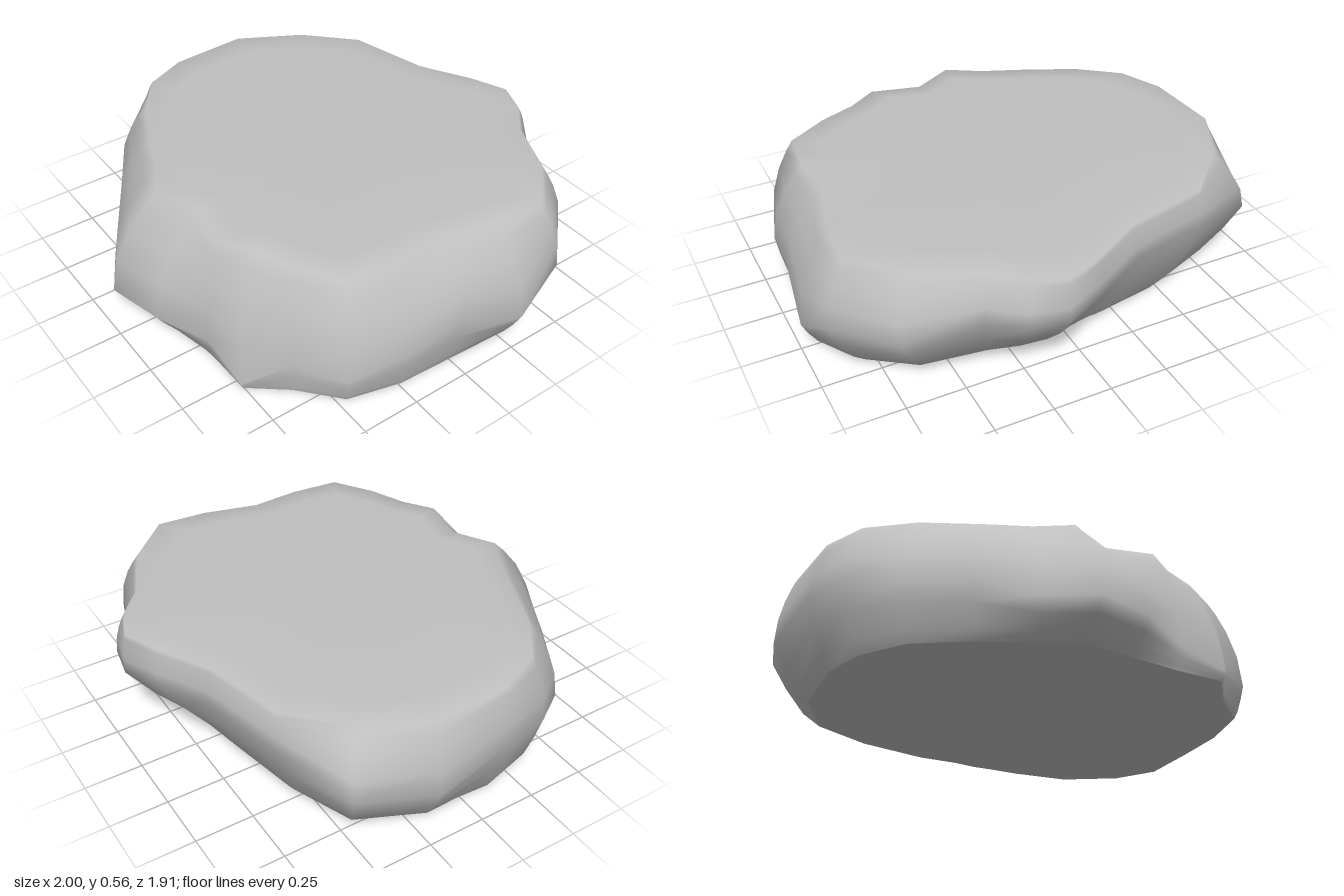
import * as THREE from 'three';

const TOP = 0.549;

// Ribs around the rock: degrees from +x towards +z, foot radius, belly radius, belly height, rim radius
const ribs = [
  [0, .90, .96, .26, .78],
  [15, .92, .97, .20, .82],
  [29, .95, 1.0, .15, .88],
  [42, .90, .92, .15, .80],
  [54, .93, .95, .04, .74],
  [66, .83, .85, .10, .75],
  [82, .79, .90, .13, .64],
  [97, .81, .96, .13, .74],
  [110, .77, .90, .13, .69],
  [126, .79, .87, .22, .71],
  [144, .85, .94, .22, .80],
  [158, .87, .97, .28, .89],
  [171, .87, .97, .30, .92],
  [192, .86, 1.02, .24, .95],
  [211, .83, 1.06, .30, .91],
  [229, .71, .90, .38, .88],
  [254, .61, .81, .40, .78],
  [270, .58, .89, .38, .87],
  [280, .60, .97, .36, .95],
  [289, .62, .98, .36, .93],
  [299, .67, .94, .36, .88],
  [316, .80, 1.04, .28, .94],
  [332, .90, 1.08, .28, .98],
  [344, .94, 1.04, .15, .88],
];

// Rules giving [radius, height] on a rib
const under = (u) => ([, foot]) => [foot * u, 0];
const lower = (u) => ([, foot, belly, bellyY]) => [foot + (belly - foot) * u ** .7, bellyY * u];
const upper = (v) => ([, , belly, bellyY, rim]) => [belly + (rim - belly) * v * v, bellyY + (TOP - bellyY) * v];
const cap = (u) => ([, , , , rim]) => [rim * u, TOP + .01];

// Joins one ring of vertices per rule, from the bottom outwards and up to the top centre
function loft(rules) {
  const n = ribs.length;
  const positions = [];
  const index = [];
  for (const rule of rules) {
    for (const rib of ribs) {
      const angle = THREE.MathUtils.degToRad(rib[0]);
      const [r, y] = rule(rib);
      positions.push(r * Math.cos(angle), y, r * Math.sin(angle));
    }
  }
  for (let k = 0; k < rules.length - 1; k++) {
    for (let i = 0; i < n; i++) {
      const a = k * n + i;
      const b = k * n + (i + 1) % n;
      index.push(a, a + n, b, b, a + n, b + n);
    }
  }
  const geometry = new THREE.BufferGeometry();
  geometry.setAttribute('position', new THREE.Float32BufferAttribute(positions, 3));
  geometry.setIndex(index);
  geometry.computeVertexNormals();
  return geometry;
}

export function createModel() {
  const stone = new THREE.MeshStandardMaterial({ color: 0xc0c0c0 });
  stone.name = 'stone grey';
  const group = new THREE.Group();
  group.name = 'flat rock';

  const add = (name, rules) => {
    const mesh = new THREE.Mesh(loft(rules), stone);
    mesh.name = name;
    group.add(mesh);
  };

  // Weathered sides rounding over into the nearly level top
  add('rockBody', [
    ...[0, .2, .6].map(lower),
    ...[0, .35, .65, .87, 1].map(upper),
    ...[.85, .4, .001].map(cap),
  ]);

  // Flat underside
  add('underside', [.001, 1].map(under));
  return group;
}
